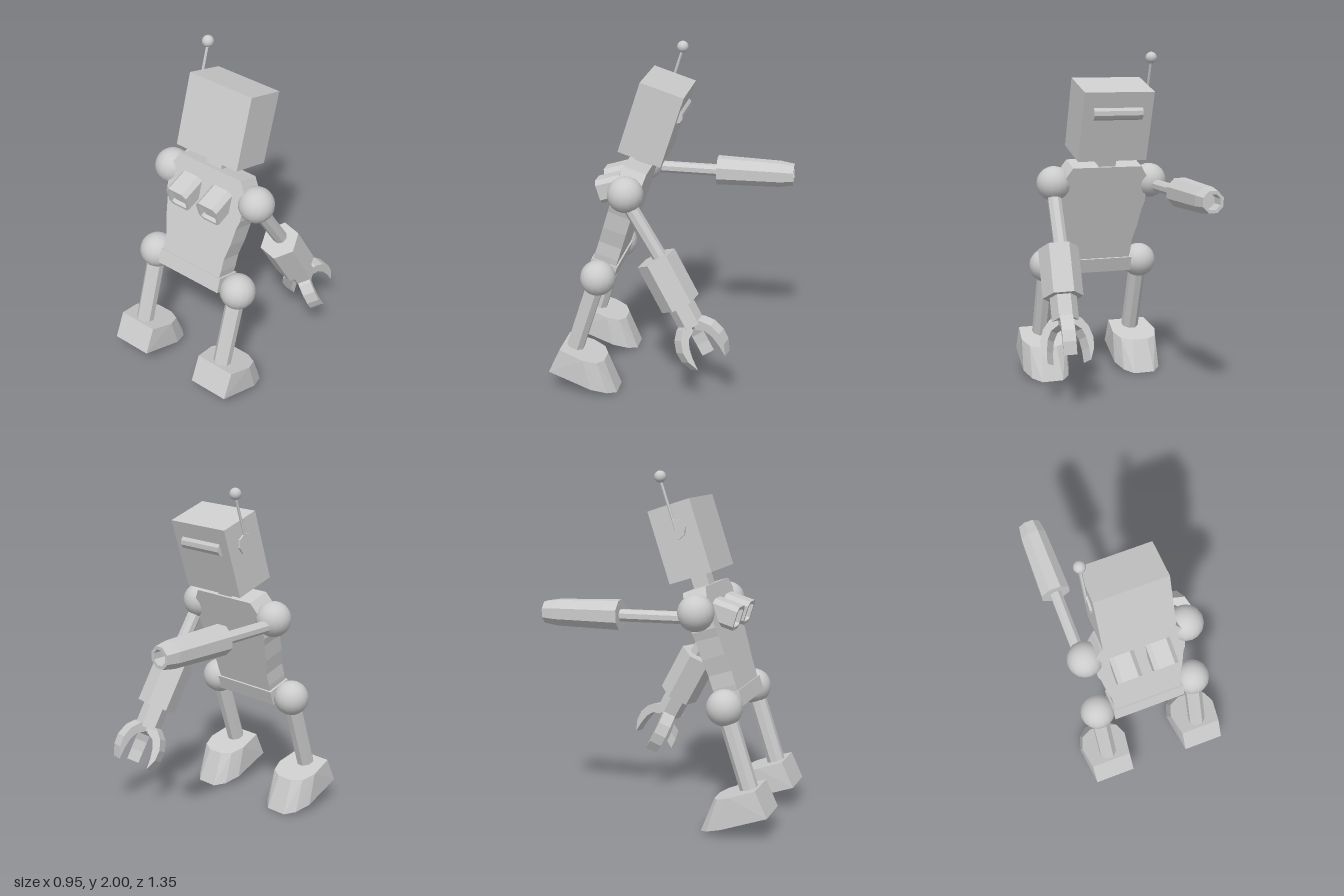
import * as THREE from 'three';
import { ConvexGeometry } from 'three/addons/geometries/ConvexGeometry.js';

const flat = new THREE.MeshStandardMaterial({ color: 0xcccccc, flatShading: true });
const smooth = new THREE.MeshStandardMaterial({ color: 0xcccccc });
const V = (x, y, z) => new THREE.Vector3(x, y, z);

function add(parent, name, geometry, x = 0, y = 0, z = 0, material = flat) {
  const mesh = new THREE.Mesh(geometry, material);
  mesh.name = name;
  mesh.position.set(x, y, z);
  parent.add(mesh);
  return mesh;
}

const ball = (r) => new THREE.SphereGeometry(r, 16, 12);
const shape = (pts) => new THREE.Shape(pts.map(([x, y]) => new THREE.Vector2(x, y)));

// group whose +y runs from one point towards another
function aimed(parent, name, from, to) {
  const g = new THREE.Group();
  g.name = name;
  g.position.copy(from);
  g.quaternion.setFromUnitVectors(V(0, 1, 0), to.clone().sub(from).normalize());
  parent.add(g);
  return g;
}

// rod between two points
function rod(parent, name, from, to, r, sides = 8) {
  const len = from.distanceTo(to);
  const geo = new THREE.CylinderGeometry(r, r, len, sides, 1, false, Math.PI / sides);
  add(aimed(parent, name + 'Axis', from, to), name, geo, 0, len / 2, 0);
}

// rectangle with cut corners
function cutRect(w, h, c) {
  const a = w / 2, b = h / 2;
  return [[-a + c, -b], [a - c, -b], [a, -b + c], [a, b - c], [a - c, b], [-a + c, b], [-a, b - c], [-a, -b + c]];
}

// foot with a narrower heel and a rounded, sloping toe
function footGeometry() {
  const pts = [];
  const outline = (y, list) => list.forEach(([x, z]) => pts.push(V(x, y, z), V(-x, y, z)));
  outline(-0.47, [[0.122, 0.07], [0.143, -0.08], [0.115, -0.16], [0.05, -0.194]]);
  outline(-0.633, [[0.122, 0.09], [0.147, -0.18], [0.117, -0.275], [0.065, -0.327]]);
  return new ConvexGeometry(pts);
}

function buildBody(root) {
  const body = new THREE.Group();
  body.name = 'leaningBody';
  body.position.set(-0.03, 0.71, 0.39);
  body.rotation.x = -Math.PI / 10;
  root.add(body);

  // torso slab with a waist
  const side = [[0.2, 0.02], [0.21, 0.1], [0.212, 0.18], [0.235, 0.28], [0.25, 0.39], [0.265, 0.44], [0.265, 0.59], [0.215, 0.67]];
  const outline = [...side, ...side.map(([x, y]) => [-x, y]).reverse()];
  add(body, 'torso', new THREE.ExtrudeGeometry(shape(outline), { depth: 0.14, bevelEnabled: false }), 0, 0, -0.07);
  add(body, 'pelvis', new THREE.BoxGeometry(0.44, 0.09, 0.16), 0, 0.018, 0);
  add(body, 'neck', new THREE.BoxGeometry(0.105, 0.12, 0.095), 0, 0.7, -0.01);

  // head, visor bar, ear and antenna
  add(body, 'head', new THREE.BoxGeometry(0.425, 0.425, 0.258), 0, 0.95, -0.003);
  const visor = new THREE.CylinderGeometry(0.042, 0.042, 0.3, 10).rotateZ(Math.PI / 2);
  add(body, 'visor', visor, 0, 1.03, -0.116);
  add(body, 'ear', new THREE.CylinderGeometry(0.06, 0.06, 0.02, 8).rotateZ(Math.PI / 2), -0.215, 1.02, 0);
  rod(body, 'antenna', V(-0.22, 1.02, 0), V(-0.22, 1.32, 0), 0.008, 6);
  add(body, 'antennaBall', ball(0.034), -0.22, 1.323, 0.004, smooth);

  // hollow chest boxes
  const frame = shape(cutRect(0.145, 0.14, 0.025));
  frame.holes.push(new THREE.Path(cutRect(0.108, 0.104, 0.012).reverse().map(([x, y]) => new THREE.Vector2(x, y))));
  for (const s of [-1, 1]) {
    const box = new THREE.Group();
    box.name = 'chestBox';
    box.position.set(s * 0.108, 0.4455, 0.166);
    box.rotation.x = 0.61;
    body.add(box);
    add(box, 'chestFrame', new THREE.ExtrudeGeometry(frame, { depth: 0.15, bevelEnabled: false }), 0, 0, -0.15);
    add(box, 'chestPanel', new THREE.BoxGeometry(0.112, 0.108, 0.11), 0, 0, -0.08);
  }

  // joints, legs and feet
  for (const s of [-1, 1]) {
    add(body, 'shoulder', ball(0.104), s * 0.303, 0.547, 0, smooth);
    add(body, 'hip', ball(0.104), s * 0.303, 0, 0, smooth);
    rod(body, 'leg', V(s * 0.3, 0, 0), V(s * 0.3, -0.5, 0), 0.053);
    add(body, 'foot', footGeometry(), s * 0.3);
  }
}

// straight arm ending in an open barrel
function buildRightArm(root) {
  rod(root, 'rightUpperArm', V(-0.35, 1.205, 0.2), V(-0.35, 1.2, -0.24), 0.036);
  const barrel = aimed(root, 'rightForearm', V(-0.351, 1.203, -0.215), V(-0.351, 1.198, -0.675));
  const profile = [[0, 0], [0.089, 0], [0.079, 0.38], [0.066, 0.46], [0.046, 0.46], [0.046, 0.38], [0, 0.38]];
  add(barrel, 'barrel', new THREE.LatheGeometry(profile.map(([x, y]) => new THREE.Vector2(x, y)), 8, Math.PI / 8));
}

// bent arm ending in a three-fingered claw
function buildLeftArm(root) {
  rod(root, 'leftUpperArm', V(0.28, 1.2, 0.215), V(0.298, 0.83, -0.01), 0.042);
  const arm = aimed(root, 'leftForearm', V(0.305, 0.873, 0.04), V(0.33, 0.49, -0.17));
  const hex = (r, len) => new THREE.CylinderGeometry(r, r, len, 6, 1, false, Math.PI / 6);
  add(arm, 'forearm', hex(0.118, 0.3), 0, 0.15, 0);
  add(arm, 'wrist', hex(0.078, 0.15), 0, 0.365, 0);

  const crescent = shape([[0.03, -0.03], [0.085, -0.01], [0.13, 0.035], [0.155, 0.1], [0.152, 0.165],
    [0.122, 0.235], [0.118, 0.165], [0.105, 0.1], [0.08, 0.055], [0.03, 0.03]]);
  const finger = new THREE.ExtrudeGeometry(crescent, { depth: 0.075, bevelEnabled: false })
    .translate(0, 0, -0.0375).rotateY(-Math.PI / 2);
  for (let i = 0; i < 3; i++) {
    add(arm, 'clawFinger', finger, 0, 0.437, 0).rotation.y = (i * Math.PI * 2) / 3;
  }
}

export function createModel() {
  const root = new THREE.Group();
  root.name = 'robot';
  buildBody(root);
  buildRightArm(root);
  buildLeftArm(root);
  return root;
}
